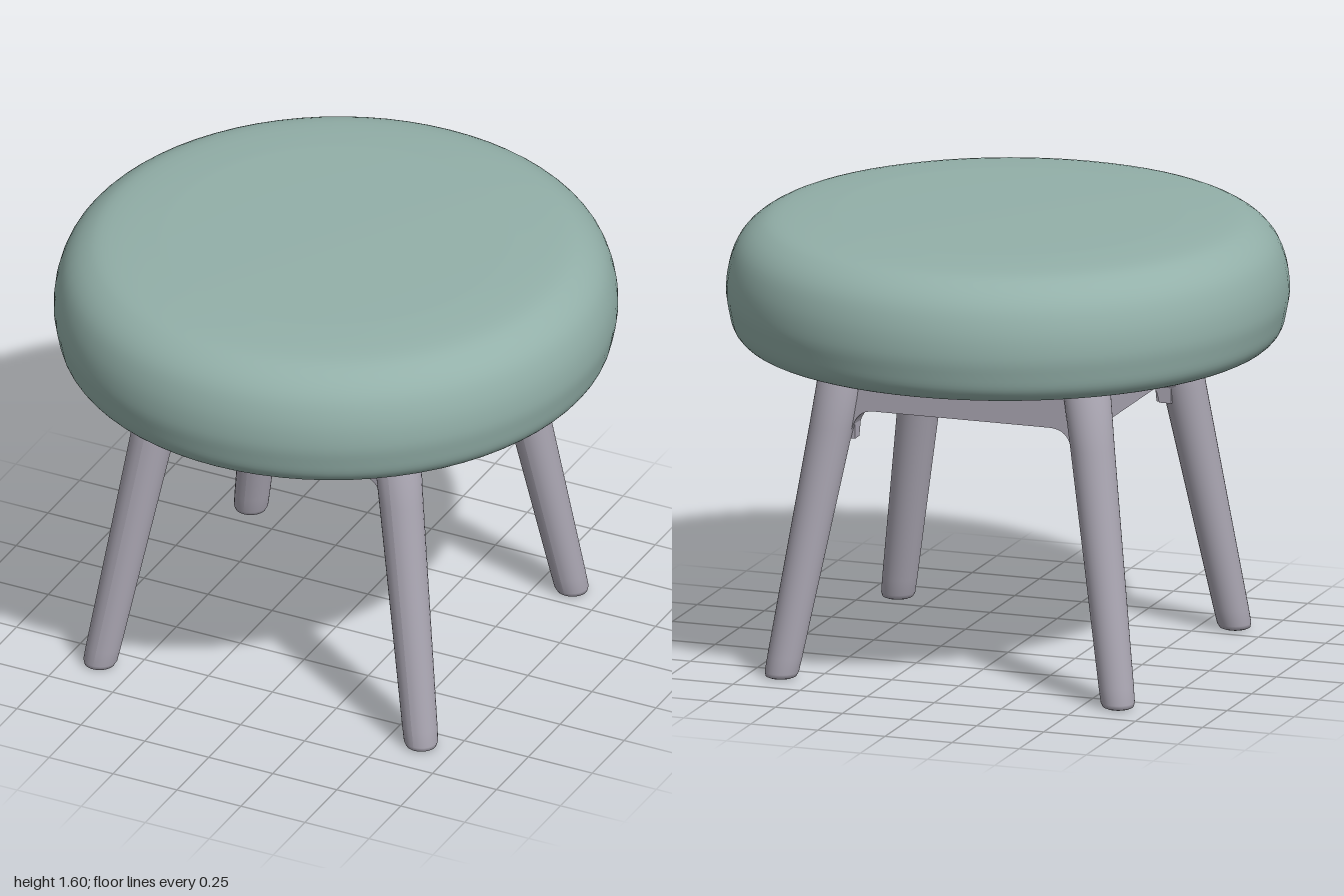
import * as THREE from 'three';

const fabric = new THREE.MeshStandardMaterial({ color: 0x93b0a9 });
const wood = new THREE.MeshStandardMaterial({ color: 0xaaa6b2 });

const v2 = (pts) => pts.map(([x, y]) => new THREE.Vector2(x, y));

// Round cushion: flat underside, tight lower edge, broad soft upper shoulder
function makeCushion() {
  const side = new THREE.SplineCurve(v2([
    [0.91, 1.15], [0.945, 1.16], [0.975, 1.195], [0.99, 1.25], [1, 1.32], [0.99, 1.41],
    [0.955, 1.495], [0.89, 1.555], [0.8, 1.585], [0.6, 1.6],
  ])).getPoints(36);
  const profile = [...v2([[0, 1.15], [0.89, 1.15]]), ...side, ...v2([[0.3, 1.605], [0, 1.605]])];
  const cushion = new THREE.Mesh(new THREE.LatheGeometry(profile, 72), fabric);
  cushion.scale.x = 0.985;
  cushion.name = 'cushion';
  return cushion;
}

// Tapered round leg, sheared outwards towards the floor; sx and sz pick the corner
function makeLeg(sx, sz) {
  const profile = v2([
    [0, 0.005], [0.042, 0.005], [0.054, 0.01], [0.06, 0.025], [0.062, 0.08],
    [0.07, 0.5], [0.078, 0.9], [0.086, 1.17], [0, 1.17],
  ]);
  const geometry = new THREE.LatheGeometry(profile, 28);
  const pos = geometry.attributes.position;
  for (let i = 0; i < pos.count; i++) {
    const y = pos.getY(i);
    pos.setX(i, pos.getX(i) + sx * (0.63 - 0.16 * y));
    pos.setZ(i, pos.getZ(i) + sz * (0.595 - 0.143 * y));
  }
  geometry.computeVertexNormals();
  const leg = new THREE.Mesh(geometry, wood);
  leg.name = 'leg';
  return leg;
}

// Apron rail whose lower edge curves down into the legs at both ends
function makeRail(halfLength, distance, angle) {
  const h = halfLength;
  const shape = new THREE.Shape();
  shape.moveTo(-h, 1.16);
  shape.lineTo(-h, 0.85);
  shape.lineTo(-h + 0.045, 0.85);
  shape.bezierCurveTo(-h + 0.06, 0.92, -h + 0.075, 0.96, -h + 0.14, 0.96);
  shape.lineTo(h - 0.14, 0.96);
  shape.bezierCurveTo(h - 0.075, 0.96, h - 0.06, 0.92, h - 0.045, 0.85);
  shape.lineTo(h, 0.85);
  shape.lineTo(h, 1.16);
  shape.closePath();
  const geometry = new THREE.ExtrudeGeometry(shape, { depth: 0.08, bevelEnabled: false, curveSegments: 10 });
  geometry.translate(0, 0, distance - 0.08);
  geometry.rotateY(angle);
  const rail = new THREE.Mesh(geometry, wood);
  rail.name = 'apronRail';
  return rail;
}

export function createModel() {
  const stool = new THREE.Group();
  stool.name = 'stool';
  stool.add(makeCushion());

  // Solid block under the cushion, closed below
  const block = new THREE.Mesh(new THREE.BoxGeometry(0.9, 0.199, 0.88), wood);
  block.position.y = 1.0605;
  block.name = 'apronBlock';
  stool.add(block);

  // Rails on all four sides
  for (let i = 0; i < 4; i++) {
    const onX = i % 2 === 1;
    stool.add(makeRail(onX ? 0.45 : 0.465, onX ? 0.485 : 0.47, i * Math.PI / 2));
  }

  // Four splayed legs
  for (const sx of [-1, 1]) for (const sz of [-1, 1]) stool.add(makeLeg(sx, sz));
  return stool;
}
